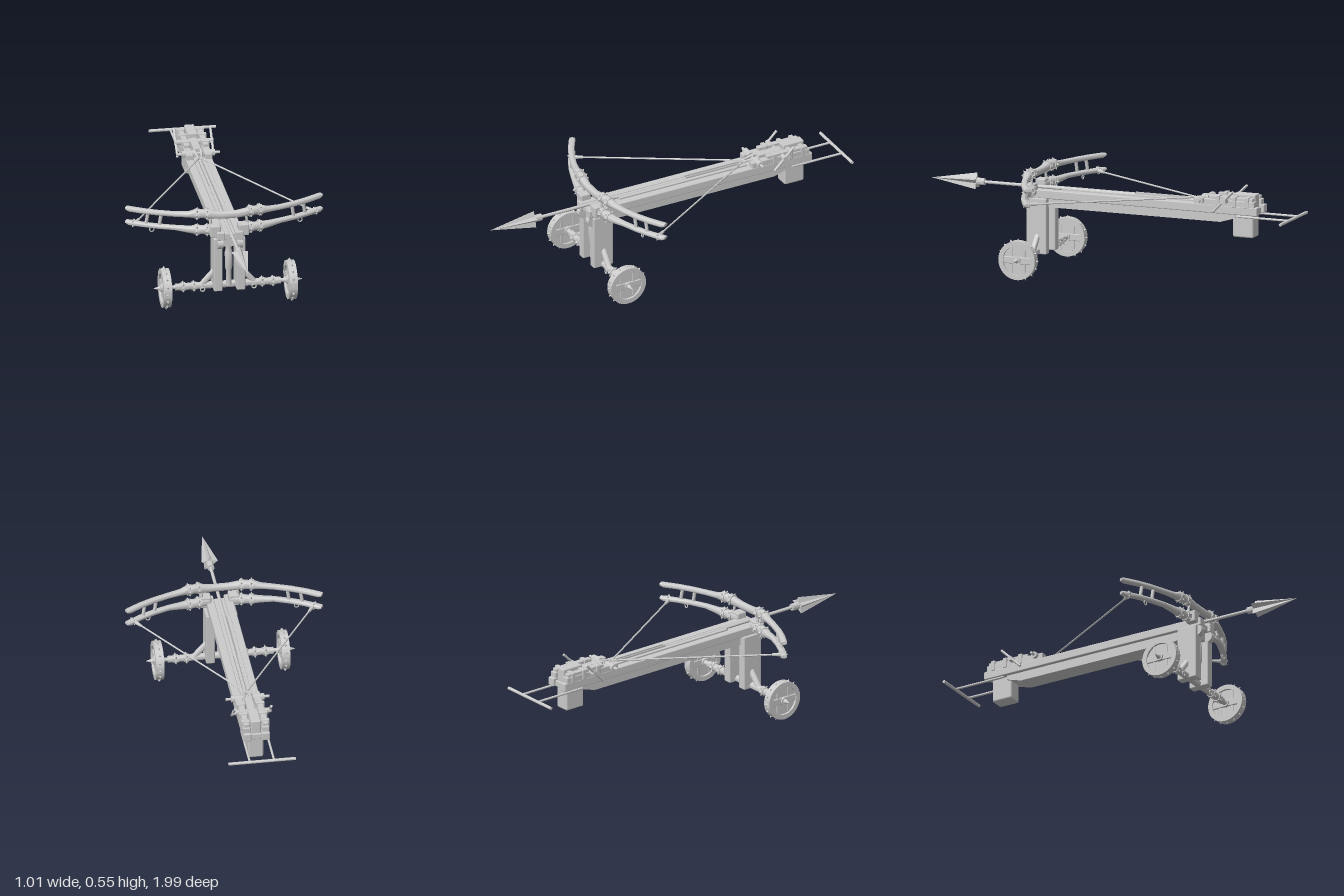
import * as THREE from 'three';
import { toCreasedNormals } from 'three/addons/utils/BufferGeometryUtils.js';
import { RoundedBoxGeometry } from 'three/addons/geometries/RoundedBoxGeometry.js';

const V = (x, y, z) => new THREE.Vector3(x, y, z);
const grey = new THREE.MeshStandardMaterial({ color: 0xcccccc });
const flat = new THREE.MeshStandardMaterial({ color: 0xcccccc, flatShading: true });

export function createModel() {
  const root = new THREE.Group();
  root.name = 'siegeCrossbow';

  const add = (name, geo, x = 0, y = 0, z = 0, parent = root, mat = grey) => {
    const m = new THREE.Mesh(geo, mat);
    m.name = name;
    m.position.set(x, y, z);
    parent.add(m);
    return m;
  };
  // Box given by its two extreme corners, with softened edges
  const box = (name, x0, x1, y0, y1, z0, z1, parent = root) => {
    const s = [x1 - x0, y1 - y0, z1 - z0];
    return add(name, new RoundedBoxGeometry(...s, 1, Math.min(...s) * 0.12),
      (x0 + x1) / 2, (y0 + y1) / 2, (z0 + z1) / 2, parent);
  };
  // Round bar between two points
  const bar = (name, a, b, r0, r1 = r0, sides = 12, parent = root) => {
    const d = b.clone().sub(a);
    const geo = toCreasedNormals(new THREE.CylinderGeometry(r1, r0, d.length(), sides), 0.7);
    const m = add(name, geo, 0, 0, 0, parent);
    m.position.copy(a).addScaledVector(d, 0.5);
    m.quaternion.setFromUnitVectors(V(0, 1, 0), d.normalize());
    return m;
  };
  // Collar along x with pointed studs around it
  const collar = (name, x, y, z, r, yaw = 0) => {
    const g = new THREE.Group();
    g.name = name;
    g.position.set(x, y, z);
    g.rotation.y = yaw;
    root.add(g);
    bar('band', V(-0.012, 0, 0), V(0.012, 0, 0), r, r, 16, g);
    for (let i = 0; i < 8; i++) {
      const a = i * Math.PI / 4;
      const s = add('stud', new THREE.ConeGeometry(0.008, 0.012, 4), 0,
        Math.cos(a) * (r + 0.004), Math.sin(a) * (r + 0.004), g, flat);
      s.rotation.x = a;
    }
  };

  // Stock
  for (const s of [-1, 1]) {
    const side = (n, a, b, ...r) => box(n, s > 0 ? a : -b, s > 0 ? b : -a, ...r);
    side('stockRail', 0.027, 0.068, 0.386, 0.43, -0.815, 0.465);
    side('grooveStrip', 0.012, 0.03, 0.39, 0.438, -0.46, 0.27);
    side('frontLeg', 0.036, 0.081, 0.1, 0.388, 0.335, 0.445);
    side('bowBracket', 0.045, 0.1, 0.4, 0.462, 0.395, 0.45);
    const hook = add('railEndCap', new THREE.CylinderGeometry(0.03, 0.03, 0.03, 16), s * 0.05, 0.365, 0.44);
    hook.rotation.z = Math.PI / 2;
    // Raised lock side with stepped top
    side('lockSide', 0.03, 0.067, 0.425, 0.458, -0.8, -0.47);
    side('lockCheek', 0.034, 0.063, 0.45, 0.474, -0.79, -0.56);
    for (const z of [-0.76, -0.69, -0.6]) side('lockBand', 0.027, 0.072, 0.425, 0.479, z - 0.011, z + 0.011);
    // Handle rods and release levers
    bar('handleRod', V(s * 0.062, 0.378, -0.7), V(s * 0.062, 0.378, -0.99), 0.006);
    bar('releaseLever', V(s * 0.093, 0.4, -0.585), V(s * 0.093, 0.51, -0.695), 0.0065);
  }
  box('grooveFloor', -0.03, 0.03, 0.386, 0.418, -0.8, 0.45);
  const keel = new THREE.Shape([[0.43, 0.34], [0.43, 0.39], [-0.69, 0.39], [-0.69, 0.365], [-0.607, 0.34]]
    .map(p => new THREE.Vector2(-p[0], p[1])));
  const keelGeo = new THREE.ExtrudeGeometry(keel, { depth: 0.1, bevelEnabled: false });
  keelGeo.translate(0, 0, -0.05).rotateY(Math.PI / 2);
  add('lowerBeam', keelGeo);
  box('rearBlock', -0.04, 0.04, 0.265, 0.39, -0.783, -0.67);
  bar('handleCrossbar', V(-0.172, 0.378, -0.988), V(0.172, 0.378, -0.988), 0.008);

  // Lock mechanism
  box('lockCentre', -0.026, 0.026, 0.41, 0.489, -0.79, -0.67);
  box('lockTongue', -0.02, 0.02, 0.41, 0.467, -0.67, -0.53);
  bar('leverAxle', V(-0.1, 0.455, -0.645), V(0.1, 0.455, -0.645), 0.013);
  bar('catchAxle', V(-0.112, 0.448, -0.51), V(0.112, 0.448, -0.51), 0.007);
  for (const s of [-1, 1]) {
    bar('catchRoller', V(s * 0.025, 0.448, -0.51), V(s * 0.085, 0.448, -0.51), 0.017);
    bar('catchClaw', V(s * 0.018, 0.455, -0.53), V(s * 0.008, 0.445, -0.44), 0.009, 0.004);
  }

  // Bow limbs: rounded sections [x, yLow, yHigh, depth] along an arc
  const arcZ = x => 0.415 - 0.875 + Math.sqrt(0.875 ** 2 - x * x);
  const yawAt = x => Math.asin(x / 0.875);
  const limb = (name, sections) => {
    const n = 16, pos = [], idx = [];
    for (const [x, lo, hi, d] of sections) for (let j = 0; j < n; j++) {
      const a = j / n * Math.PI * 2, c = Math.cos(a), s = Math.sin(a);
      const u = Math.sign(c) * Math.abs(c) ** 0.7, w = Math.sign(s) * Math.abs(s) ** 0.7 * d / 2;
      pos.push(x + w * x / 0.875, (lo + hi) / 2 + u * (hi - lo) / 2, arcZ(x) + w);
    }
    const last = sections.length - 1;
    for (let i = 0; i < last; i++) for (let j = 0; j < n; j++) {
      const a = i * n + j, d = i * n + (j + 1) % n;
      idx.push(a, d, a + n, d, d + n, a + n);
    }
    for (let j = 1; j < n - 1; j++) idx.push(0, j + 1, j, last * n, last * n + j, last * n + j + 1);
    const geo = new THREE.BufferGeometry();
    geo.setAttribute('position', new THREE.Float32BufferAttribute(pos, 3));
    geo.setIndex(idx);
    add(name, toCreasedNormals(geo, 0.7));
  };
  const flip = list => list.map(([x, ...r]) => [-x, ...r]).reverse();
  const upper = [[0.04, 0.49, 0.527, 0.036], [0.08, 0.493, 0.533, 0.04], [0.11, 0.496, 0.54, 0.042],
    [0.17, 0.496, 0.54, 0.042], [0.205, 0.499, 0.528, 0.034], [0.27, 0.499, 0.525, 0.03],
    [0.35, 0.499, 0.525, 0.03], [0.42, 0.499, 0.525, 0.03], [0.485, 0.499, 0.525, 0.03], [0.5, 0.508, 0.524, 0.026]];
  const lower = [[0.05, 0.41, 0.455, 0.042], [0.11, 0.409, 0.452, 0.042], [0.17, 0.409, 0.451, 0.042],
    [0.205, 0.415, 0.449, 0.034], [0.27, 0.426, 0.45, 0.03], [0.35, 0.426, 0.45, 0.03],
    [0.42, 0.426, 0.45, 0.03], [0.485, 0.425, 0.45, 0.03], [0.5, 0.434, 0.449, 0.026]];
  limb('upperBow', [...flip(upper), ...upper]);
  limb('lowerBowLeft', lower);
  limb('lowerBowRight', flip(lower));
  for (const s of [-1, 1]) {
    for (const x of [0.11, 0.16]) {
      collar('upperBowCollar', s * x, 0.518, arcZ(x), 0.027, s * yawAt(x));
      collar('lowerBowCollar', s * x, 0.43, arcZ(x), 0.027, s * yawAt(x));
    }
    for (const [x, r] of [[0.335, 0.009], [0.398, 0.009], [0.088, 0.007]])
      bar('bowStrut', V(s * x, 0.507, arcZ(x)), V(s * (x + 0.01), 0.44, arcZ(x + 0.01)), r);
    add('bowRing', new THREE.TorusGeometry(0.011, 0.003, 8, 20), s * 0.38, 0.416, arcZ(0.38));
    collar('bowTipBand', s * 0.465, 0.438, arcZ(0.465), 0.014, s * yawAt(0.465));
    // String, with a thick loop at the bow tip
    const tip = V(s * 0.46, 0.436, 0.283), knot = V(s * 0.43, 0.437, 0.235);
    bar('stringLoop', tip, knot, 0.011, 0.007);
    bar('bowString', knot, V(0, 0.447, -0.46), 0.0045, 0.0045, 8);
  }

  // Bolt with star-section head and tail fins
  bar('boltShaft', V(0, 0.432, -0.45), V(0, 0.432, 0.74), 0.0085);
  bar('boltSocket', V(0, 0.432, 0.705), V(0, 0.432, 0.76), 0.018);
  const head = new THREE.ConeGeometry(1, 0.25, 10);
  const p = head.attributes.position;
  for (let i = 0; i < p.count; i++) {
    const k = Math.round(Math.atan2(p.getX(i), p.getZ(i)) / (Math.PI / 5));
    const r = k % 2 ? 0.045 : 0.021;
    p.setX(i, p.getX(i) * r);
    p.setZ(i, p.getZ(i) * r);
  }
  head.rotateX(Math.PI / 2);
  add('boltHead', head, 0, 0.432, 0.872, root, flat);
  for (const s of [-1, 1]) box('boltFin', s * 0.009 - 0.002, s * 0.009 + 0.002, 0.43, 0.446, -0.43, -0.12);

  // Axle and undercarriage
  const AY = 0.115, AZ = 0.387;
  bar('axleBeam', V(-0.27, AY, AZ), V(0.27, AY, AZ), 0.018, 0.018, 16);
  bar('axleRod', V(-0.35, AY, AZ), V(0.35, AY, AZ), 0.01);
  const post = [[0.001, 0.12], [0.014, 0.12], [0.014, 0.2], [0.019, 0.22], [0.02, 0.3], [0.015, 0.32], [0.02, 0.345], [0.02, 0.39]];
  add('centrePost', toCreasedNormals(new THREE.LatheGeometry(post.map(q => new THREE.Vector2(...q)), 16), 0.6), 0, 0, 0.41);
  for (const s of [-1, 1]) {
    for (const x of [0.175, 0.23]) collar('axleCollar', s * x, AY, AZ, 0.022);
    bar('axleBrace', V(s * 0.135, 0.12, AZ), V(s * 0.06, 0.205, AZ), 0.015);
    add('axleRing', new THREE.TorusGeometry(0.011, 0.0035, 8, 20), s * 0.132, 0.1, AZ + 0.017);
  }

  // Wheels: banded rim, plank panel, hub and spikes
  for (const s of [-1, 1]) {
    const w = new THREE.Group();
    w.name = s > 0 ? 'leftWheel' : 'rightWheel';
    w.position.set(s * 0.322, AY, AZ);
    root.add(w);
    const ring = new THREE.Shape().absarc(0, 0, 0.1, 0, Math.PI * 2);
    ring.holes.push(new THREE.Path().absarc(0, 0, 0.075, 0, Math.PI * 2, true));
    const rim = new THREE.ExtrudeGeometry(ring, { depth: 0.042, bevelEnabled: false, curveSegments: 32 });
    rim.translate(0, 0, -0.021).rotateY(Math.PI / 2);
    add('rim', toCreasedNormals(rim, 0.6), 0, 0, 0, w);
    bar('panel', V(-0.009, 0, 0), V(0.009, 0, 0), 0.077, 0.077, 32, w);
    box('crossPlank', -0.016, 0.016, -0.018, 0.018, -0.08, 0.08, w);
    for (const z of [-0.035, 0.035]) box('uprightPlank', -0.013, 0.013, -0.068, 0.068, z - 0.008, z + 0.008, w);
    bar('hub', V(-0.024, 0, 0), V(0.024, 0, 0), 0.02, 0.02, 16, w);
    bar('hubSpike', V(s * 0.02, 0, 0), V(s * 0.06, 0, 0), 0.014, 0.0005, 12, w);
    bar('innerHub', V(-s * 0.048, 0, 0), V(-s * 0.02, 0, 0), 0.008, 0.015, 12, w);
    for (let i = 0; i < 16; i++) {
      const a = i * Math.PI / 8;
      const t = add('rimStud', new THREE.ConeGeometry(0.008, 0.013, 4), 0, Math.cos(a) * 0.105, Math.sin(a) * 0.105, w, flat);
      t.rotation.x = a;
    }
  }
  return root;
}
